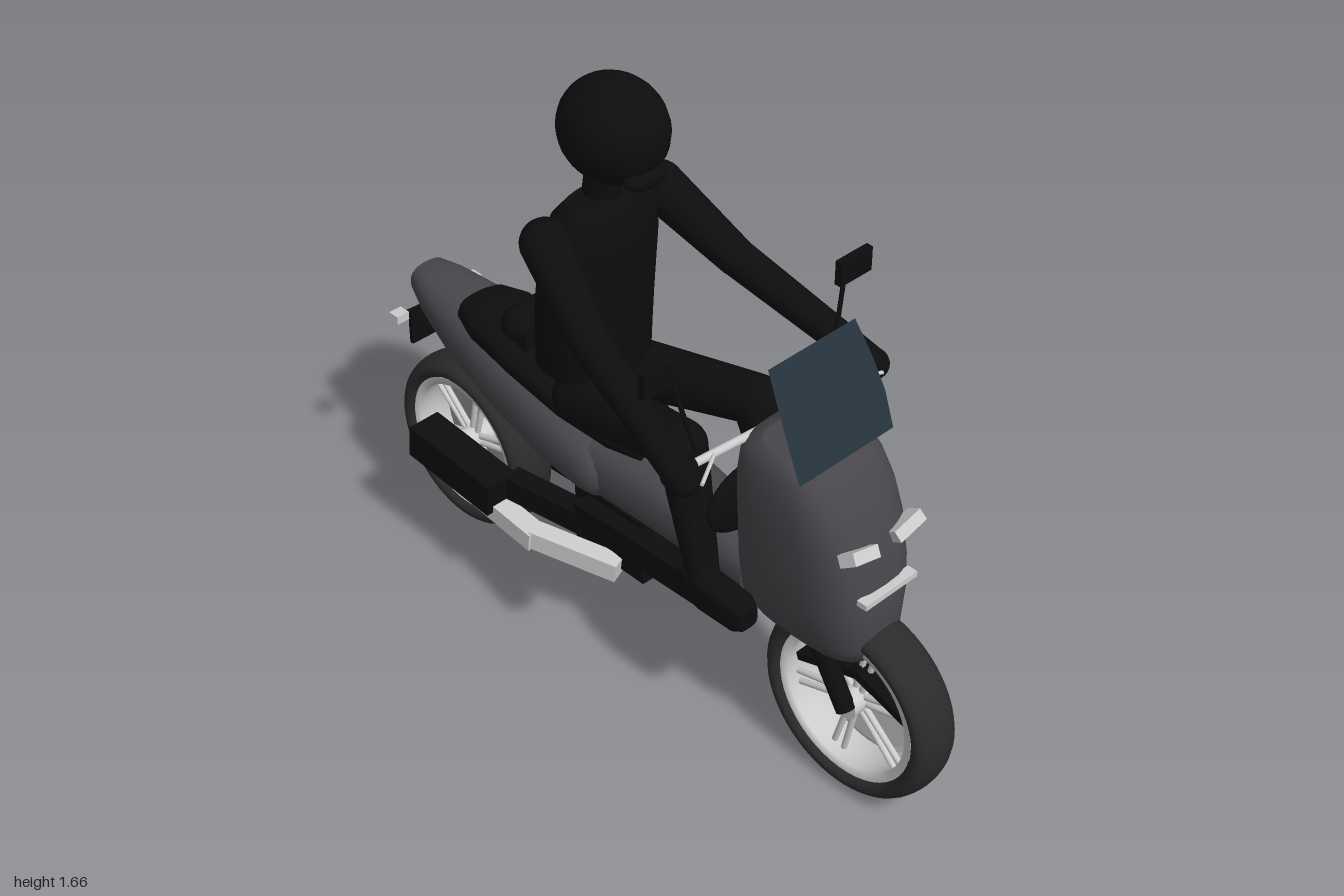
import * as THREE from 'three';

const V = (x, y, z) => new THREE.Vector3(x, y, z);
const mat = (color) => new THREE.MeshStandardMaterial({ color, side: THREE.DoubleSide });

export function createModel() {
  const root = new THREE.Group();
  const black = mat(0x0d0d0d), paint = mat(0x48464b), rubber = mat(0x2b2b2b);
  const silver = mat(0xcccccc), glass = mat(0x26333c);

  const add = (name, geo, material, pos = [0, 0, 0], parent = root) => {
    const m = new THREE.Mesh(geo, material);
    m.name = name;
    m.position.set(...pos);
    parent.add(m);
    return m;
  };
  const box = (name, size, pos, material) => add(name, new THREE.BoxGeometry(...size), material, pos);
  const ball = (name, r, pos, material, scale = [1, 1, 1]) => {
    const m = add(name, new THREE.SphereGeometry(r, 24, 16), material, pos);
    m.scale.set(...scale);
    return m;
  };

  // Round bar between two points, optionally tapered
  const rod = (name, a, b, ra, rb, material, parent = root) => {
    const m = add(name, new THREE.CylinderGeometry(rb, ra, a.distanceTo(b), 16), material,
      a.clone().lerp(b, 0.5).toArray(), parent);
    m.quaternion.setFromUnitVectors(V(0, 1, 0), b.clone().sub(a).normalize());
    return m;
  };
  // Square bar between two points
  const beam = (name, a, b, w, h, material) => {
    const m = box(name, [w, h, a.distanceTo(b)], a.clone().lerp(b, 0.5).toArray(), material);
    m.lookAt(b);
    return m;
  };
  // Limb made of tapered segments with round joints; joints are [point, radius]
  const limb = (name, joints) => {
    joints.forEach(([p, r], i) => {
      ball(name + 'Joint', r, p.toArray(), black);
      if (i) rod(name, joints[i - 1][0], p, joints[i - 1][1], r, black);
    });
  };

  // Smooth body from superellipse sections [t, low, high, halfWidthZ] along x or y
  const loft = (name, axis, sections, material, n = 2.5) => {
    const N = 32, pos = [], idx = [];
    const first = sections[0], last = sections[sections.length - 1];
    const tip = (s) => [s[0], (s[1] + s[2]) / 2, (s[1] + s[2]) / 2, 0];
    const rings = [tip(first), first, ...sections, last, tip(last)];
    const p = (v) => Math.sign(v) * Math.abs(v) ** (2 / n);
    rings.forEach(([t, lo, hi, w], i) => {
      for (let j = 0; j < N; j++) {
        const a = (j / N) * Math.PI * 2;
        const u = (lo + hi) / 2 + ((hi - lo) / 2) * p(Math.sin(a)), z = w * p(Math.cos(a));
        pos.push(...(axis === 'x' ? [t, u, z] : [u, t, z]));
        if (i === rings.length - 1) continue;
        const A = i * N + j, B = i * N + ((j + 1) % N), C = A + N, D = B + N;
        idx.push(...(axis === 'x' ? [A, C, B, B, C, D] : [A, B, C, B, D, C]));
      }
    });
    const g = new THREE.BufferGeometry();
    g.setAttribute('position', new THREE.Float32BufferAttribute(pos, 3));
    g.setIndex(idx);
    g.computeVertexNormals();
    return add(name, g, material);
  };

  // Wheels: tyre, rim, hub and paired spokes
  const wheel = (name, x, r) => {
    const g = new THREE.Group();
    g.name = name;
    g.position.set(x, r, 0);
    root.add(g);
    const t = 0.035, inner = r - 2 * t;
    add('tyre', new THREE.TorusGeometry(r - t, t, 20, 56), rubber, [0, 0, 0], g).scale.z = 2;
    const rim = [[inner + 0.012, -0.055], [inner - 0.012, -0.05], [inner - 0.004, 0],
      [inner - 0.012, 0.05], [inner + 0.012, 0.055]].map((q) => new THREE.Vector2(...q));
    add('rim', new THREE.LatheGeometry(rim, 48), silver, [0, 0, 0], g).rotation.x = Math.PI / 2;
    add('hub', new THREE.CylinderGeometry(0.038, 0.038, 0.11, 24), silver, [0, 0, 0], g).rotation.x = Math.PI / 2;
    for (let i = 0; i < 6; i++) {
      for (const s of [-1, 1]) {
        const a = 0.3 + (i * Math.PI) / 3, b = a + s * 0.08, c = a + s * 0.3;
        rod('spoke', V(0.035 * Math.cos(c), 0.035 * Math.sin(c), 0.01),
          V(inner * Math.cos(b), inner * Math.sin(b), 0.01), 0.009, 0.008, silver, g);
      }
    }
    return g;
  };
  wheel('rearWheel', -0.735, 0.265);
  const front = wheel('frontWheel', 0.72, 0.275);
  add('brakeDisc', new THREE.CylinderGeometry(0.17, 0.17, 0.012, 40), silver, [0, 0, -0.045], front).rotation.x = Math.PI / 2;

  // Front fork and low mudguard
  for (const s of [-1, 1]) rod('fork', V(0.6, 0.5, s * 0.065), V(0.735, 0.28, s * 0.065), 0.026, 0.026, black);
  [[0.55, 0.32, 0.74, 0.385], [0.74, 0.385, 0.94, 0.325]].forEach(([x0, y0, x1, y1]) =>
    beam('mudguard', V(x0, y0, 0), V(x1, y1, 0), 0.09, 0.022, black));

  // Painted bodywork
  loft('tail', 'x', [[-0.925, 0.72, 0.76, 0.03], [-0.91, 0.69, 0.775, 0.06], [-0.84, 0.645, 0.78, 0.085],
    [-0.7, 0.575, 0.775, 0.115], [-0.5, 0.51, 0.75, 0.14], [-0.3, 0.465, 0.7, 0.15],
    [-0.16, 0.45, 0.66, 0.15], [-0.11, 0.46, 0.63, 0.145], [-0.09, 0.49, 0.6, 0.13]], paint);
  loft('centreBody', 'x', [[-0.14, 0.45, 0.665, 0.13], [0.05, 0.44, 0.65, 0.115],
    [0.2, 0.435, 0.62, 0.105], [0.4, 0.435, 0.59, 0.1]], paint);
  loft('fairing', 'y', [[0.43, 0.44, 0.73, 0.07], [0.445, 0.39, 0.765, 0.1], [0.5, 0.367, 0.785, 0.128],
    [0.6, 0.365, 0.785, 0.145], [0.7, 0.365, 0.775, 0.152], [0.8, 0.365, 0.75, 0.157], [0.88, 0.367, 0.715, 0.157],
    [0.94, 0.375, 0.675, 0.15], [0.975, 0.4, 0.635, 0.14], [0.993, 0.44, 0.59, 0.12]], paint, 3);
  ball('innerPanel', 0.1, [0.325, 0.69, 0], black, [0.28, 1, 1.45]);

  // Seat and backrest roll
  loft('seat', 'x', [[-0.71, 0.74, 0.77, 0.05], [-0.68, 0.71, 0.79, 0.085], [-0.6, 0.69, 0.802, 0.11],
    [-0.45, 0.67, 0.77, 0.12], [-0.25, 0.645, 0.735, 0.125], [-0.08, 0.63, 0.72, 0.11], [0.01, 0.63, 0.7, 0.08]], black);
  const roll = add('backrest', new THREE.CapsuleGeometry(0.05, 0.1, 8, 20), black, [-0.465, 0.82, 0]);
  roll.rotation.x = Math.PI / 2;
  box('backrestMount', [0.095, 0.08, 0.14], [-0.465, 0.78, 0], black);

  // Floor, engine, drive case and exhaust
  beam('floor', V(-0.18, 0.385, 0), V(0.38, 0.405, 0), 0.26, 0.08, black);
  box('engine', [0.26, 0.2, 0.2], [-0.1, 0.345, -0.02], black);
  beam('driveCase', V(-0.68, 0.27, -0.12), V(-0.08, 0.3, -0.12), 0.06, 0.12, black);
  beam('swingArm', V(-0.735, 0.3, -0.1), V(-0.1, 0.38, -0.1), 0.05, 0.08, black);
  beam('muffler', V(-0.73, 0.38, 0.19), V(-0.41, 0.35, 0.185), 0.1, 0.1, black);
  beam('mufflerBracket', V(-0.42, 0.36, 0.14), V(-0.17, 0.36, 0.1), 0.06, 0.07, black);
  beam('exhaustPipe', V(-0.56, 0.31, 0.185), V(-0.27, 0.28, 0.185), 0.06, 0.055, silver);
  beam('exhaustPipe', V(-0.29, 0.285, 0.185), V(-0.05, 0.255, 0.09), 0.055, 0.055, silver);

  // Windscreen with a bowed profile
  const rows = [[0.635, 0.98, 0.16], [0.6, 1.07, 0.163], [0.56, 1.15, 0.157], [0.51, 1.238, 0.145]];
  const screen = new THREE.PlaneGeometry(1, 1, 8, rows.length - 1), sp = screen.attributes.position;
  for (let i = 0; i < sp.count; i++) {
    const [x, y, w] = rows[rows.length - 1 - Math.floor(i / 9)];
    sp.setXYZ(i, x, y, -2 * w * sp.getX(i));
  }
  screen.computeVertexNormals();
  add('windscreen', screen, glass);

  // Lamps and number plate
  box('frontLightBar', [0.03, 0.016, 0.18], [0.783, 0.668, 0], silver);
  box('plate', [0.012, 0.105, 0.13], [-0.92, 0.577, 0], black);
  beam('plateArm', V(-0.92, 0.62, 0), V(-0.82, 0.68, 0), 0.03, 0.015, black);
  for (const s of [-1, 1]) {
    const lamp = box('headlamp', [0.05, 0.032, 0.09], [0.757, 0.8, s * 0.08], silver);
    lamp.rotation.set(-s * 0.25, 0, 0.6);
    box('rearIndicator', [0.035, 0.025, 0.04], [-0.88, 0.67, s * 0.13], silver);
    rod('indicatorStalk', V(-0.86, 0.68, 0), V(-0.88, 0.67, s * 0.12), 0.006, 0.006, black);

    // Handlebar, levers and mirrors
    rod('handlebar', V(0.41, 0.96, 0), V(0.4, 0.975, s * 0.3), 0.011, 0.011, silver);
    rod('grip', V(0.4, 0.975, s * 0.27), V(0.4, 0.975, s * 0.36), 0.018, 0.018, black);
    rod('lever', V(0.41, 0.975, s * 0.21), V(0.47, 0.975, s * 0.31), 0.005, 0.005, silver);
    rod('mirrorStem', V(0.37, 0.97, s * 0.23), V(0.345, 1.2, s * 0.29), 0.006, 0.006, black);
    box('mirror', [0.02, 0.068, 0.11], [0.343, 1.22, s * 0.325], black);

    // Rider limbs
    limb('arm', [[V(-0.19, 1.265, s * 0.19), 0.064], [V(0.02, 1.125, s * 0.25), 0.05], [V(0.425, 0.97, s * 0.325), 0.04]]);
    const knee = s > 0 ? 0.09 : -0.175;
    limb('leg', [[V(-0.18, 0.76, s * 0.09), 0.078], [V(0.18, 0.805, knee), 0.066], [V(0.32, 0.51, s * 0.15), 0.042]]);
    loft('shoe', 'x', [[0.27, 0.435, 0.53, 0.035], [0.35, 0.43, 0.525, 0.045], [0.46, 0.43, 0.52, 0.042],
      [0.485, 0.44, 0.5, 0.03]], black, 4).position.z = s * 0.155;
  }

  // Rider torso, neck and helmet
  loft('torso', 'y', [[0.79, -0.33, -0.14, 0.12], [0.82, -0.36, -0.11, 0.15], [1.0, -0.345, -0.11, 0.16],
    [1.2, -0.305, -0.105, 0.165], [1.29, -0.27, -0.115, 0.15], [1.33, -0.24, -0.14, 0.11]], black);
  rod('neck', V(-0.2, 1.3, 0), V(-0.18, 1.43, 0), 0.048, 0.048, black);
  ball('helmet', 0.14, [-0.15, 1.525, 0], black, [1.06, 0.97, 0.93]);
  ball('chinGuard', 0.035, [-0.04, 1.44, 0], black, [1, 0.9, 1.9]);
  return root;
}
